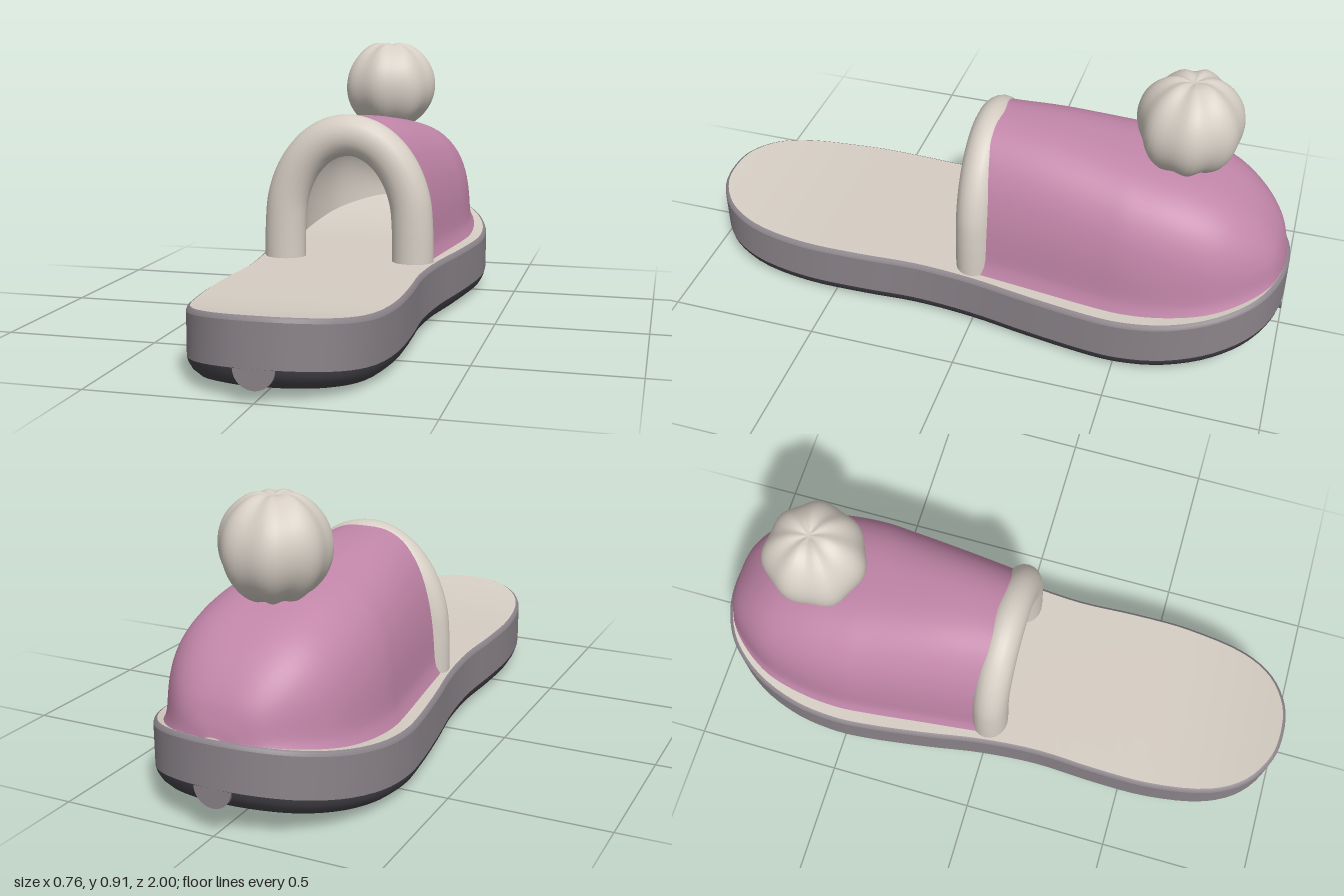
import * as THREE from 'three';
import { mergeVertices } from 'three/addons/utils/BufferGeometryUtils.js';

const mat = (name, color, side = THREE.FrontSide) => {
  const m = new THREE.MeshStandardMaterial({ color, side });
  m.name = name;
  return m;
};

// Smooth surface over a grid of points given by fn(i, j) -> [x, y, z]
function grid(rows, cols, fn) {
  const pos = [], idx = [];
  for (let i = 0; i <= rows; i++) for (let j = 0; j <= cols; j++) pos.push(...fn(i, j));
  for (let i = 0; i < rows; i++) {
    for (let j = 0; j < cols; j++) {
      const a = i * (cols + 1) + j, b = a + cols + 1;
      idx.push(a, b, a + 1, b, b + 1, a + 1);
    }
  }
  let g = new THREE.BufferGeometry();
  g.setAttribute('position', new THREE.Float32BufferAttribute(pos, 3));
  g.setIndex(idx);
  g = mergeVertices(g);
  g.computeVertexNormals();
  return g;
}

// The sole curls up at heel and toe
const lift = (z) => {
  if (z < -0.4) return 0.09 * ((-z - 0.4) / 0.6) ** 2;
  if (z > 0.6) return 0.04 * ((z - 0.6) / 0.4) ** 2;
  return 0;
};

// Half outline of the sole (x, z), heel to toe
const HALF = [[0, 1], [0.1, 0.985], [0.2, 0.92], [0.265, 0.81], [0.303, 0.6], [0.305, 0.4], [0.297, 0.2],
  [0.312, 0], [0.345, -0.2], [0.372, -0.4], [0.38, -0.52], [0.365, -0.67], [0.31, -0.82],
  [0.22, -0.93], [0.11, -0.985], [0, -1]];
const outline = new THREE.CatmullRomCurve3(
  [...HALF, ...HALF.slice(1, -1).reverse().map(([x, z]) => [-x, z])].map(([x, z]) => new THREE.Vector3(x, 0, z)), true);
const N = 60;
const edge = Array.from({ length: N + 1 }, (_, k) => {
  const t = k / N / 2, p = outline.getPoint(t), d = outline.getTangent(t);
  return { x: p.x, z: p.z, nx: k % N ? -d.z : 0, nz: d.x };
});
const edgePoint = (k, sign, inset, y) => {
  const e = edge[k], z = e.z - e.nz * inset;
  return [sign * Math.max(0, e.x - e.nx * inset), y + lift(z), z];
};

// Band around the sole through rings of [inset, height]
const band = (rings) => grid(rings.length - 1, 2 * N, (i, j) =>
  j <= N ? edgePoint(j, -1, ...rings[i]) : edgePoint(2 * N - j, 1, ...rings[i]));

// Flat cap across the sole, facing up (dir = 1) or down (dir = -1)
const cap = (inset, y, dir) => grid(N, 8, (i, j) => {
  const p = edgePoint(i, 1, inset, y);
  return [p[0] * dir * (1 - j / 4), p[1], p[2]];
});

// Sections of the upper: half width, height, z
const sections = new THREE.CatmullRomCurve3([
  [0.26, 0.675, -0.02], [0.28, 0.668, -0.2], [0.303, 0.645, -0.4], [0.313, 0.628, -0.52],
  [0.305, 0.605, -0.65], [0.275, 0.56, -0.78], [0.215, 0.49, -0.88], [0.14, 0.405, -0.95],
  [0.07, 0.335, -0.978], [0.01, 0.29, -0.988],
].map((p) => new THREE.Vector3(...p)));

// Arched shell with a small flared lip along its base
function shell(thickness, lip) {
  const rows = 48, cols = 48;
  return grid(rows, cols, (i, j) => {
    const s = sections.getPoint(i / rows);
    const w = Math.max(0.004, s.x - thickness);
    const z = i > rows / 2 ? s.z + thickness * (i / rows - 0.5) * 2 : s.z;
    const base = 0.195 + lift(z);
    const h = Math.max(0.01, s.y - thickness - base);
    const a = Math.PI * j / cols, c = Math.cos(a), sn = Math.sin(a);
    const n = 2.5 + 0.4 * Math.min(1, i / 14);
    const r = (Math.abs(c) ** n + Math.abs(sn) ** n) ** (-1 / n);
    const y = h * r * sn;
    return [c * (w * r + lip * Math.exp(-y / 0.025)), base + y, z];
  });
}

export function createModel() {
  const cream = mat('cream fleece', 0xd6cec4);
  const lining = mat('cream lining', 0xd6cec4, THREE.DoubleSide);
  const pink = mat('pink fabric', 0xc286a9);
  const grey = mat('grey rubber', 0x8b848a);
  const dark = mat('dark tread', 0x454349);

  const model = new THREE.Group();
  model.name = 'slipper';
  const add = (name, geometry, material) => {
    const m = new THREE.Mesh(geometry, material);
    m.name = name;
    model.add(m);
    return m;
  };

  // Sole
  add('treadBottom', cap(0.06, 0, -1), dark);
  add('treadEdge', band([[0.06, 0], [0.035, 0.006], [0.015, 0.022], [0.004, 0.04], [0, 0.055]]), dark);
  add('soleSide', band([[0, 0.055], [0, 0.12], [0, 0.185]]), grey);
  add('soleRim', band([[0, 0.185], [0.004, 0.195], [0.012, 0.2]]), grey);
  add('insole', cap(0.012, 0.2, 1), cream);

  // Half-round tabs at heel and toe
  for (const [name, z] of [['heelTab', 1], ['toeTab', -1]]) {
    const g = new THREE.CylinderGeometry(0.06, 0.06, 0.08, 24, 1, false, -Math.PI / 2, Math.PI).rotateX(Math.PI / 2);
    add(name, g, grey).position.set(0, 0.055 + lift(z), z * 0.96);
  }

  // Upper and its lining
  add('upper', shell(0, 0.02), pink);
  add('upperLining', shell(0.02, 0), lining);

  // Padded roll around the opening
  const arch = [[0.222, 0.19], [0.222, 0.25]];
  for (let k = 0; k <= 12; k++) {
    const a = Math.PI * k / 12;
    arch.push([0.22 * Math.cos(a), 0.32 + 0.298 * Math.sin(a)]);
  }
  arch.push([-0.222, 0.25], [-0.222, 0.19]);
  const path = new THREE.CatmullRomCurve3(arch.map(([x, y]) => new THREE.Vector3(x, y, 0)));
  const roll = add('openingRoll', new THREE.TubeGeometry(path, 64, 0.07, 20), cream);
  roll.scale.z = 0.88;
  roll.position.z = 0.008;

  // Lumpy pompom with a gathered dimple on top
  const rows = 28, cols = 48;
  const pompom = grid(rows, cols, (i, j) => {
    const v = Math.PI * i / rows, u = 2 * Math.PI * (j % cols) / cols, s = Math.sin(v);
    const ridges = 0.03 * Math.cos(7 * u + 0.4) * Math.min(1, 2 * s) + 0.02 * Math.sin(3 * u + 2 * v) * s;
    const r = 0.165 * (1 + ridges - 0.1 * Math.exp(-((v / 0.22) ** 2)));
    return [r * s * Math.sin(u), r * Math.cos(v), r * s * Math.cos(u)];
  });
  add('pompom', pompom, cream).position.set(-0.005, 0.747, -0.63);

  return model;
}
